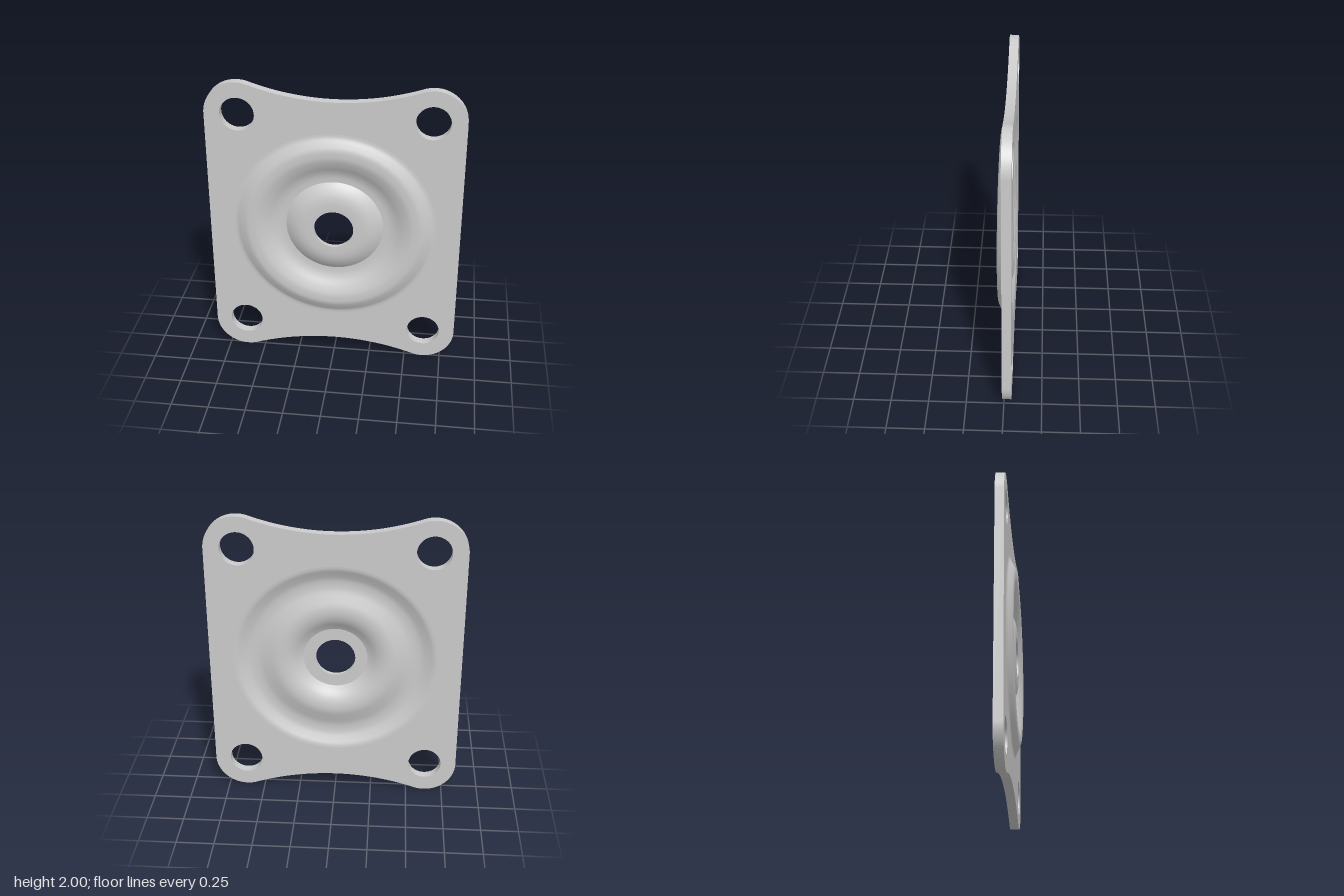
import * as THREE from 'three';
import { toCreasedNormals } from 'three/addons/utils/BufferGeometryUtils.js';

const FRONT = 0.01, BACK = -0.05, DISC = 0.68, BORE = 0.132;

export function createModel() {
  const model = new THREE.Group();
  const material = new THREE.MeshStandardMaterial({ color: 0xcccccc });
  const add = (name, geometry, parent) => {
    const mesh = new THREE.Mesh(geometry, material);
    mesh.name = name;
    parent.add(mesh);
    return mesh;
  };

  // Plate outline: rounded corners joined by hollow top and bottom edges
  const cx = 0.625, cy = 0.785, r = 0.215;
  const sag = 0.895 - cy; // edge middle above the corner centres
  const R = (cx * cx + sag * sag - r * r) / (2 * (r - sag)); // tangent arc radius
  const Y = 0.895 + R;
  const t = Math.atan2(Y - cy, -cx); // tangent direction at the top right corner
  const PI = Math.PI;
  const shape = new THREE.Shape();
  shape.absarc(cx, cy, r, 0, t, false);
  shape.absarc(0, Y, R, t - PI, -t, true);
  shape.absarc(-cx, cy, r, PI - t, PI, false);
  shape.absarc(-cx, -cy, r, PI, PI + t, false);
  shape.absarc(0, -Y, R, t, PI - t, true);
  shape.absarc(cx, -cy, r, -t, 0, false);
  shape.closePath();

  // Corner bolt holes and the opening filled by the pressed disc
  const hole = (x, y, radius) =>
    shape.holes.push(new THREE.Path().absarc(x, y, radius, 0, PI * 2, false));
  for (const x of [-cx, cx]) for (const y of [-cy, cy]) hole(x, y, 0.112);
  hole(0, 0, DISC);
  const plate = new THREE.ExtrudeGeometry(shape, {
    depth: FRONT - BACK, bevelEnabled: false, curveSegments: 48,
  });
  plate.translate(0, 1, BACK);
  add('plate', toCreasedNormals(plate, 0.6), model);

  // Pressed disc: smooth profiles as [radius, z], split at the sharp edges
  const disc = new THREE.Group();
  disc.name = 'pressedDisc';
  disc.rotation.x = PI / 2;
  disc.position.y = 1;
  model.add(disc);
  const turned = (name, points, steps = 32) => {
    const curve = new THREE.SplineCurve(points.map(p => new THREE.Vector2(...p)));
    add(name, new THREE.LatheGeometry(curve.getPoints(steps), 96), disc);
  };
  turned('frontRidge', [
    [DISC, FRONT], [0.655, 0.014], [0.62, 0.032], [0.585, 0.047], [0.55, 0.05],
    [0.51, 0.046], [0.46, 0.027], [0.41, 0.001], [0.37, -0.012], [0.326, -0.016],
  ], 48);
  turned('frontBoss', [
    [0.326, -0.016], [0.29, 0.008], [0.25, 0.027], [0.21, 0.037], [0.17, 0.04], [BORE, 0.04],
  ]);
  turned('bore', [[BORE, 0.04], [BORE, 0.01]], 1);
  turned('backFlange', [[BORE, 0.01], [0.214, 0.01]], 1);
  turned('backGroove', [
    [0.214, 0.01], [0.24, -0.005], [0.28, -0.03], [0.32, -0.045], [0.36, -0.05],
    [0.4, -0.046], [0.45, -0.03], [0.5, -0.014], [0.54, -0.01], [0.58, -0.014],
    [0.62, -0.03], [0.655, -0.046], [DISC, BACK],
  ], 48);

  return model;
}
